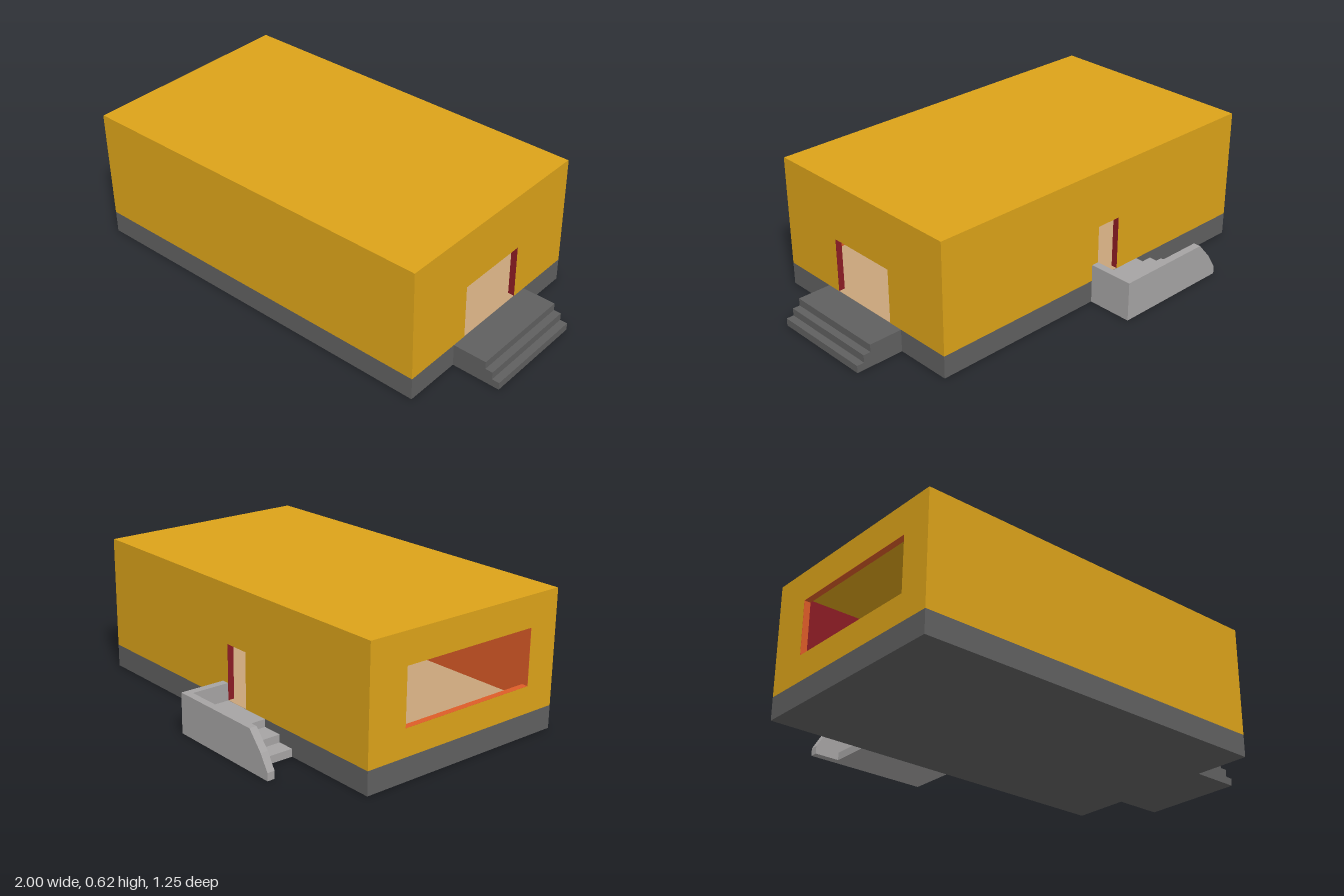
import * as THREE from 'three';

const YELLOW = 0xdca319, ORANGE = 0xdd5c28, MAROON = 0x8c1c24;
const DARK = 0x606060, GREY = 0xa6a4a4, TAN = 0xc8a47a;
const BASE = 0.105, TOP = 0.625, T = 0.03, GAP = 0.001;
const X0 = -1, X1 = 0.77, Z0 = -0.41, Z1 = 0.62;

export function createModel() {
  const model = new THREE.Group();
  const mat = (color) => new THREE.MeshStandardMaterial({ color });

  function add(parent, name, geometry, color) {
    const mesh = new THREE.Mesh(geometry, mat(color));
    mesh.name = name;
    parent.add(mesh);
    return mesh;
  }

  // Box given by its limits on each axis
  function block(parent, name, [xa, xb], [ya, yb], [za, zb], color) {
    const g = new THREE.BoxGeometry(xb - xa, yb - ya, zb - za);
    g.translate((xa + xb) / 2, (ya + yb) / 2, (za + zb) / 2);
    return add(parent, name, g, color);
  }

  // Wall outline: doors notch the bottom edge, windows are holes
  function wallShape(a, b, top, open) {
    const pts = [[a, BASE]];
    const isDoor = open && open.y0 <= BASE;
    if (isDoor) pts.push([open.a, BASE], [open.a, open.y1], [open.b, open.y1], [open.b, BASE]);
    pts.push([b, BASE], [b, top], [a, top]);
    const shape = new THREE.Shape(pts.map((p) => new THREE.Vector2(...p)));
    if (open && !isDoor) {
      shape.holes.push(new THREE.Path([
        [open.a, open.y0], [open.a, open.y1], [open.b, open.y1], [open.b, open.y0],
      ].map((p) => new THREE.Vector2(...p))));
    }
    return shape;
  }

  // Yellow outer skin over a coloured wall body, facing local +z
  function wall(name, a, b, inset, color, open, position, turn) {
    const group = new THREE.Group();
    group.name = name;
    add(group, name + 'Skin', new THREE.ShapeGeometry(wallShape(a, b, TOP, open)), YELLOW);
    const body = new THREE.ExtrudeGeometry(
      wallShape(a + inset, b - inset, TOP - T, open), { depth: T - GAP, bevelEnabled: false });
    body.translate(0, 0, -T);
    add(group, name + 'Lining', body, color);
    group.position.set(...position);
    group.rotation.y = turn;
    model.add(group);
  }

  // Plinth, floor and roof
  block(model, 'plinth', [X0, X1], [0, BASE], [Z0, Z1], DARK);
  block(model, 'floor', [X0 + GAP, X1 - GAP], [BASE - 0.01, BASE + GAP], [Z0 + GAP, Z1 - GAP], TAN);
  block(model, 'roof', [X0 + GAP, X1 - GAP], [TOP - T, TOP], [Z0 + GAP, Z1 - GAP], YELLOW);

  // Four walls
  wall('frontWall', X0, X1, T, ORANGE, null, [0, 0, Z1], 0);
  wall('backWall', -X1, -X0, T, MAROON,
    { a: 0.115, b: 0.24, y0: BASE, y1: 0.36 }, [0, 0, Z0], Math.PI);
  wall('rightWall', -Z1, -Z0, GAP, MAROON,
    { a: -0.28, b: 0.07, y0: BASE, y1: 0.36 }, [X1, 0, 0], Math.PI / 2);
  wall('leftWall', Z0, Z1, GAP, ORANGE,
    { a: -0.22, b: 0.47, y0: 0.228, y1: 0.483 }, [X0, 0, 0], -Math.PI / 2);

  // Entrance steps, each lower one reaching further out
  [0.93, 0.965, 1].forEach((x, i, all) => {
    const xa = i ? all[i - 1] : X1;
    block(model, 'entranceStep' + (i + 1), [xa, x], [0, BASE - i * 0.035], [-0.14, 0.35], DARK);
  });

  // Back porch: landing with two steps going down along the wall
  const porch = new THREE.Group();
  porch.name = 'backPorch';
  model.add(porch);
  const edges = [-0.115, -0.37, -0.467, -0.547];
  for (let i = 0; i < 3; i++) {
    block(porch, i ? 'porchStep' + i : 'porchLanding',
      [edges[i + 1], edges[i]], [0, BASE - i * 0.035], [-0.59, Z0], GREY);
  }
  block(porch, 'porchEndWall', [-0.115, -0.08], [0, 0.185], [-0.59, Z0], GREY);

  // Porch side wall with a sloping end
  const side = new THREE.Shape([
    [-0.08, 0], [-0.08, 0.185], [-0.55, 0.185], [-0.62, 0.105], [-0.663, 0.035], [-0.663, 0],
  ].map((p) => new THREE.Vector2(...p)));
  const sideGeo = new THREE.ExtrudeGeometry(side, { depth: 0.035, bevelEnabled: false });
  sideGeo.translate(0, 0, -0.625);
  add(porch, 'porchSideWall', sideGeo, GREY);

  return model;
}
